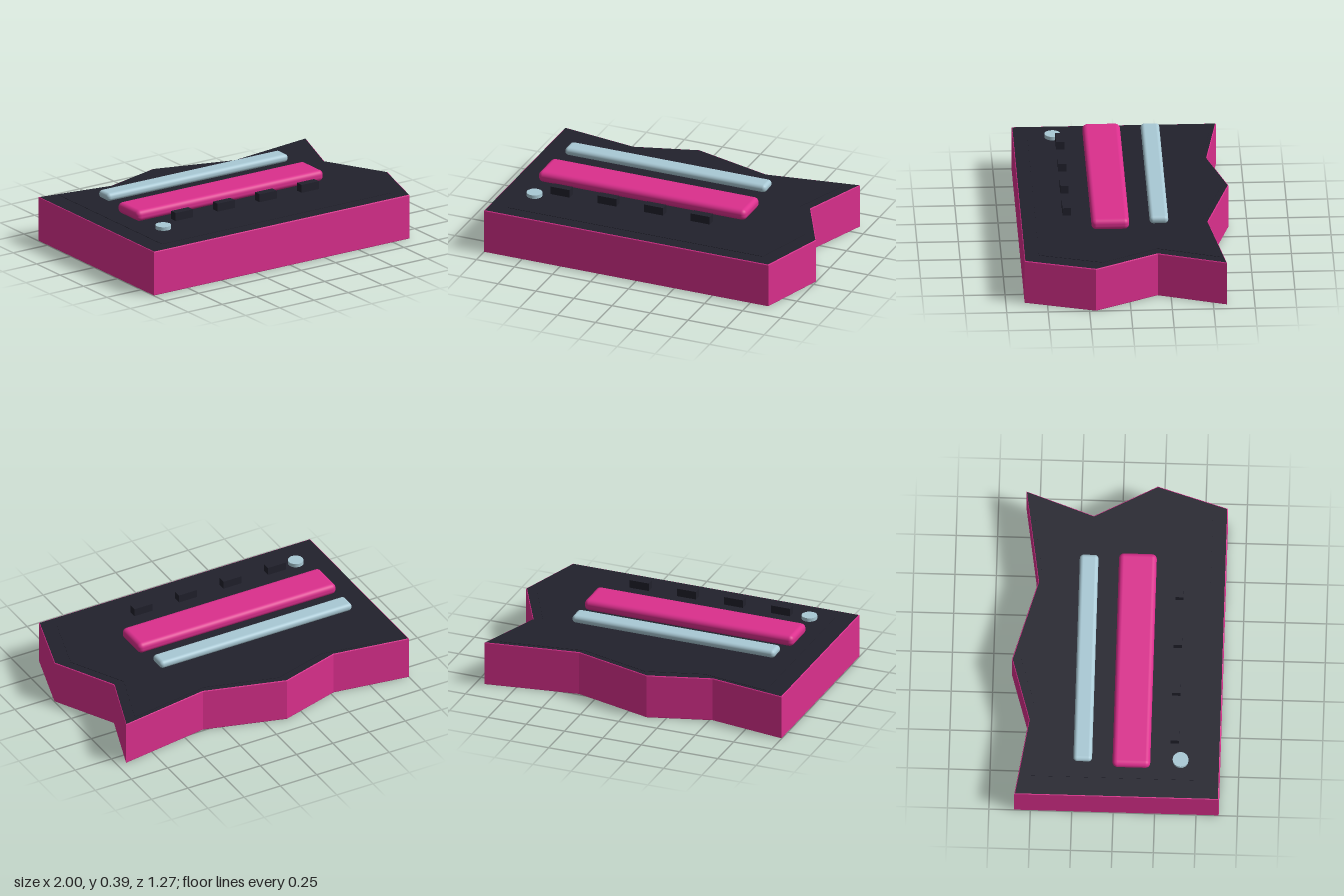
import * as THREE from 'three';
import { RoundedBoxGeometry } from 'three/addons/geometries/RoundedBoxGeometry.js';

const mat = (name, color) => {
  const m = new THREE.MeshStandardMaterial({ color });
  m.name = name;
  return m;
};

// jagged outline as (x, z)
const OUTLINE = [
  [-1, -0.597], [-0.52, -0.523], [-0.135, -0.637], [0.365, -0.493], [0.945, -0.583],
  [0.8, -0.17], [1, 0.21], [0.87, 0.637], [-1, 0.637],
];

// upright slab from an outline, bottom at y = 0
function slab(points, height, bevel) {
  const shape = new THREE.Shape(points.map(([x, z]) => new THREE.Vector2(x, -z)));
  const geo = new THREE.ExtrudeGeometry(shape, {
    depth: height - 2 * bevel, bevelEnabled: bevel > 0, bevelSize: bevel,
    bevelThickness: bevel, bevelOffset: -bevel, bevelSegments: 2,
  });
  return geo.rotateX(-Math.PI / 2).translate(0, bevel, 0);
}

export function createModel() {
  const pink = mat('pink', 0xdb2f8d);
  const dark = mat('charcoal', 0x21212c);
  const pale = mat('paleBlue', 0xa9c9d5);

  const model = new THREE.Group();
  model.name = 'jaggedConsole';
  const add = (name, geo, material, x = 0, y = 0, z = 0) => {
    const mesh = new THREE.Mesh(geo, material);
    mesh.name = name;
    mesh.position.set(x, y, z);
    model.add(mesh);
    return mesh;
  };

  // body: dark top and bottom, pink walls
  add('body', slab(OUTLINE, 0.28, 0.005), [dark, pink]);

  // slightly raised panel following the outline
  const inner = OUTLINE.map(([x, z]) => [0.895 * x + 0.015, 0.89 * z - 0.02]);
  add('topPanel', slab(inner, 0.004, 0), dark, 0, 0.278, 0);

  // long bars hovering over the top
  add('pinkBar', new RoundedBoxGeometry(1.365, 0.07, 0.228, 4, 0.03), pink, -0.147, 0.348, 0.104);
  add('paleBar', new RoundedBoxGeometry(1.322, 0.05, 0.113, 4, 0.023), pale, -0.145, 0.364, -0.19);

  // row of small keys
  for (let i = 0; i < 4; i++) {
    add('key' + (i + 1), new THREE.BoxGeometry(0.125, 0.05, 0.05), dark, -0.607 + i * 0.307, 0.367, 0.362);
  }

  // round knob
  add('knob', new THREE.CylinderGeometry(0.048, 0.048, 0.023, 16), pale, -0.77, 0.33, 0.4);

  return model;
}
